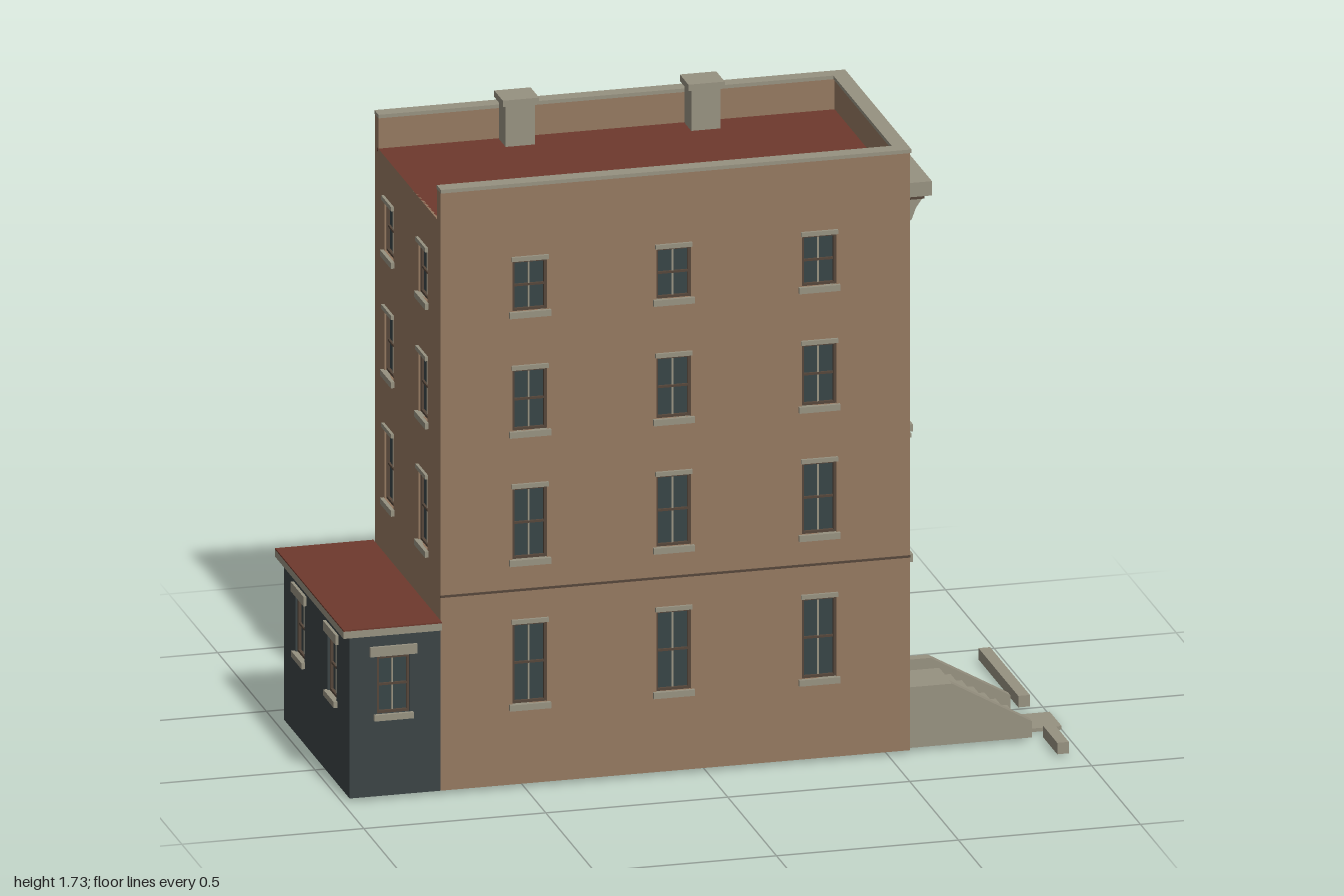
import * as THREE from 'three';

const mat = (name, color, extra = {}) => {
  const m = new THREE.MeshStandardMaterial({ color, ...extra });
  m.name = name;
  return m;
};

export function createModel() {
  const brown = mat('brownstone', 0x947860);
  const stone = mat('trim stone', 0x969180);
  const red = mat('roof red', 0x6e392d);
  const slate = mat('slate wall', 0x3b4345);
  const glass = mat('window glass', 0x384446);
  const sash = mat('sash brown', 0x55463a);
  const doorMat = mat('door brown', 0x8a6a50);

  const model = new THREE.Group();
  model.name = 'townhouse';

  // box given by its min and max corners
  function box(parent, name, m, x0, x1, y0, y1, z0, z1) {
    const mesh = new THREE.Mesh(new THREE.BoxGeometry(x1 - x0, y1 - y0, z1 - z0), m);
    mesh.position.set((x0 + x1) / 2, (y0 + y1) / 2, (z0 + z1) / 2);
    mesh.name = name;
    parent.add(mesh);
    return mesh;
  }

  function polygon(points) {
    return new THREE.Shape(points.map(([x, y]) => new THREE.Vector2(x, y)));
  }

  // wall seen from outside: u runs right, v up, outward is local +z
  function wall(name, m, u0, u1, v0, v1, openings, turn, x, z) {
    const g = new THREE.Group();
    g.name = name;
    g.rotation.y = turn;
    g.position.set(x, 0, z);
    const shape = polygon([[u0, v0], [u1, v0], [u1, v1], [u0, v1]]);
    for (const o of openings) {
      const a = o.u - o.w / 2, b = o.u + o.w / 2;
      shape.holes.push(new THREE.Path([[a, o.v0], [a, o.v1], [b, o.v1], [b, o.v0]]
        .map(([p, q]) => new THREE.Vector2(p, q))));
    }
    const geo = new THREE.ExtrudeGeometry(shape, { depth: 0.02, bevelEnabled: false });
    geo.translate(0, 0, -0.02);
    const mesh = new THREE.Mesh(geo, m);
    mesh.name = name + 'Surface';
    g.add(mesh);
    openings.forEach((o) => (o.kind === 'door' ? door(g, o) : window_(g, o)));
    model.add(g);
    return g;
  }

  // sash window with the head and sill its kind calls for
  function window_(wallGroup, o) {
    const g = new THREE.Group();
    g.name = 'window';
    wallGroup.add(g);
    const { u, v0, v1, w, kind } = o;
    const a = u - w / 2, b = u + w / 2, mid = (v0 + v1) / 2, t = 0.007;
    box(g, 'glass', glass, a, b, v0, v1, -0.018, -0.014);
    for (const [p, q] of [[a, a + t], [b - t, b]]) box(g, 'sashStile', sash, p, q, v0, v1, -0.014, -0.006);
    for (const [p, q] of [[v0, v0 + t], [v1 - t, v1]]) box(g, 'sashRail', sash, a, b, p, q, -0.014, -0.006);
    if (kind === 'basement') {
      for (const k of [-1, 0, 1]) box(g, 'bar', sash, u + k * w / 4 - 0.002, u + k * w / 4 + 0.002, v0, v1, -0.013, -0.007);
      box(g, 'lintel', stone, a - 0.01, b + 0.01, v1 + 0.003, v1 + 0.035, 0, 0.005);
      return;
    }
    box(g, 'meetingRail', sash, a, b, mid - 0.003, mid + 0.003, -0.014, -0.008);
    box(g, 'mullion', stone, u - 0.0025, u + 0.0025, v0 + t, v1 - t, -0.014, -0.01);
    box(g, 'sill', stone, a - 0.009, b + 0.009, v0 - 0.017, v0, -0.01, 0.01);
    if (kind === 'hood') {
      box(g, 'hood', stone, a - 0.022, b + 0.022, v1 + 0.01, v1 + 0.022, 0, 0.022);
      box(g, 'hoodFrieze', stone, a - 0.012, b + 0.012, v1, v1 + 0.01, 0, 0.01);
      for (const s of [-1, 1]) {
        const c = u + s * (w / 2 + 0.011);
        box(g, 'hoodBracket', stone, c - 0.005, c + 0.005, v1 - 0.03, v1 + 0.01, 0, 0.01);
      }
    } else if (kind === 'lintel') {
      box(g, 'lintel', stone, a - 0.02, b + 0.02, v1 + 0.003, v1 + 0.03, 0, 0.008);
    } else {
      box(g, 'head', stone, a - 0.003, b + 0.003, v1, v1 + 0.012, -0.01, 0.008);
    }
  }

  // entrance door with transom light
  function door(wallGroup, o) {
    const g = new THREE.Group();
    g.name = 'frontDoor';
    wallGroup.add(g);
    const { u, v0, v1, w } = o, a = u - w / 2, b = u + w / 2;
    box(g, 'doorLeaf', doorMat, a, b, v0, v1, -0.02, -0.014);
    for (const s of [-1, 1]) {
      const c = u + s * (w / 2 - 0.005);
      box(g, 'doorJamb', sash, c - 0.003, c + 0.003, v0, v1, -0.014, -0.004);
    }
    box(g, 'transom', glass, a + 0.008, b - 0.008, v1 - 0.042, v1 - 0.008, -0.014, -0.01);
    for (const k of [-1, 1]) box(g, 'transomBar', sash, u + k * 0.017 - 0.002, u + k * 0.017 + 0.002, v1 - 0.042, v1 - 0.008, -0.01, -0.008);
    box(g, 'knob', sash, b - 0.02, b - 0.014, v0 + 0.09, v0 + 0.1, -0.014, -0.006);
    box(g, 'doorLintel', stone, a - 0.015, b + 0.015, v1 + 0.003, v1 + 0.035, 0, 0.008);
  }

  const row = (us, v0, v1, w, kind) => us.map((u) => ({ u, v0, v1, w, kind }));
  const X0 = -0.73, X1 = 0.56, Z0 = -0.395, Z1 = 0.28, Y0 = 0.01, TOP = 1.685, ROOF = 1.6;

  // main walls
  const sideCols = [-0.485, -0.09, 0.31];
  wall('sideWall', brown, X0, X1, Y0, TOP, [
    ...row(sideCols, 0.235, 0.46, 0.095, 'plain'), ...row(sideCols, 0.64, 0.84, 0.095, 'plain'),
    ...row(sideCols, 1.0, 1.172, 0.095, 'plain'), ...row(sideCols, 1.335, 1.477, 0.095, 'plain'),
  ], 0, 0, Z1);
  wall('partyWall', brown, -X1, -X0, Y0, TOP, [], Math.PI, 0, Z0);
  const cols = [-0.14, 0.07, 0.265];
  wall('streetWall', brown, -Z1, -Z0, Y0, TOP, [
    { u: -0.14, v0: 0.15, v1: 0.43, w: 0.125, kind: 'door' },
    ...row(cols.slice(1), 0.05, 0.113, 0.092, 'basement'), ...row(cols.slice(1), 0.235, 0.47, 0.1, 'hood'),
    ...row(cols, 0.64, 0.852, 0.1, 'hood'), ...row(cols, 1.0, 1.183, 0.1, 'lintel'),
    ...row(cols, 1.335, 1.482, 0.1, 'lintel'),
  ], Math.PI / 2, X1, 0);
  const rearCols = [-0.25, 0.1];
  wall('rearWall', brown, Z0, Z1, 0.46, ROOF, [
    ...row(rearCols, 0.64, 0.84, 0.095, 'plain'), ...row(rearCols, 1.0, 1.172, 0.095, 'plain'),
    ...row(rearCols, 1.335, 1.477, 0.095, 'plain'),
  ], -Math.PI / 2, X0, 0);

  // string courses
  box(model, 'lowerCourse', stone, X1, X1 + 0.008, 0.537, 0.56, Z0, Z1);
  box(model, 'upperCourse', stone, X1, X1 + 0.008, 0.903, 0.923, Z0, Z1);
  box(model, 'waterTable', stone, X1, X1 + 0.006, Y0, 0.04, Z0, 0.01);
  box(model, 'sideCourse', sash, X0, X1, 0.551, 0.557, Z1, Z1 + 0.003);

  // roof, parapet and coping
  box(model, 'roof', red, X0, 0.53, ROOF - 0.01, ROOF, Z0 + 0.02, Z1 - 0.02);
  for (const [z0, z1] of [[Z0 + 0.003, Z0 + 0.036], [Z1 - 0.036, Z1 - 0.003]]) {
    box(model, 'sideParapet', brown, X0, X1 - 0.003, ROOF - 0.01, TOP, z0, z1);
  }
  box(model, 'frontParapet', brown, 0.524, X1 - 0.003, ROOF - 0.01, TOP, Z0 + 0.01, Z1 - 0.01);
  box(model, 'partyCoping', stone, X0, X1 + 0.003, TOP, 1.695, Z0 - 0.004, -0.358);
  box(model, 'sideCoping', stone, X0, X1 + 0.003, TOP, 1.695, 0.24, Z1 + 0.003);
  box(model, 'frontCoping', stone, 0.52, X1 + 0.003, TOP, 1.695, -0.358, 0.24);

  // cornice on scroll-like brackets
  box(model, 'cornice', stone, X1, 0.62, 1.56, 1.6, Z0 - 0.003, Z1);
  box(model, 'corniceBed', sash, X1, 0.6, 1.553, 1.56, Z0, Z1);
  const bracketShape = polygon([[X1, 1.49], [0.567, 1.495], [0.578, 1.525], [0.597, 1.553], [X1, 1.553]]);
  for (const z of [0.265, 0.2, 0.07, 0.02, -0.14, -0.195, -0.33, -0.382]) {
    const geo = new THREE.ExtrudeGeometry(bracketShape, { depth: 0.012, bevelEnabled: false });
    geo.translate(0, 0, z - 0.006);
    const m = new THREE.Mesh(geo, stone);
    m.name = 'corniceBracket';
    model.add(m);
  }

  // chimneys
  for (const x of [-0.36, 0.15]) {
    box(model, 'chimney', stone, x - 0.04, x + 0.04, ROOF, 1.715, -0.354, -0.285);
    box(model, 'chimneyCap', stone, x - 0.05, x + 0.05, 1.715, 1.733, -0.365, -0.277);
  }

  // rear annex
  const AX = -0.98;
  wall('annexSideWall', slate, AX, X0, Y0, 0.465, row([-0.86], 0.24, 0.4, 0.09, 'lintel'), 0, 0, Z1);
  wall('annexPartyWall', slate, -X0, -AX, Y0, 0.465, [], Math.PI, 0, Z0);
  wall('annexRearWall', slate, Z0, Z1, Y0, 0.465, row([-0.23, 0.1], 0.24, 0.4, 0.09, 'lintel'), -Math.PI / 2, AX, 0);
  box(model, 'annexEaves', stone, -1, X0, 0.463, 0.483, -0.41, 0.292);
  box(model, 'annexRoof', red, -1, X0, 0.483, 0.487, -0.41, 0.292);

  // stoop: cheek walls, landing and steps
  const cheek = polygon([[X1, Y0], [0.9, Y0], [0.9, 0.055], [0.68, 0.18], [X1, 0.18]]);
  for (const z of [0.012, 0.232]) {
    const geo = new THREE.ExtrudeGeometry(cheek, { depth: 0.03, bevelEnabled: false });
    geo.translate(0, 0, z);
    const m = new THREE.Mesh(geo, stone);
    m.name = 'stoopCheek';
    model.add(m);
  }
  const steps = 7;
  for (let i = 0; i < steps; i++) {
    const x1 = 0.89 - i * 0.031;
    const y0 = Y0 + i * 0.02;
    box(model, 'step', stone, X1, x1, y0, y0 + 0.02, 0.042, 0.232);
  }
  box(model, 'pathSlab', stone, 0.88, 1, 0, 0.01, 0.07, 0.192);

  // low kerbs at the pavement
  box(model, 'longKerb', stone, 0.93, 0.962, 0.008, 0.04, -0.4, 0.008);
  box(model, 'shortKerb', stone, 0.93, 0.962, 0.008, 0.04, 0.262, 0.408);

  return model;
}
